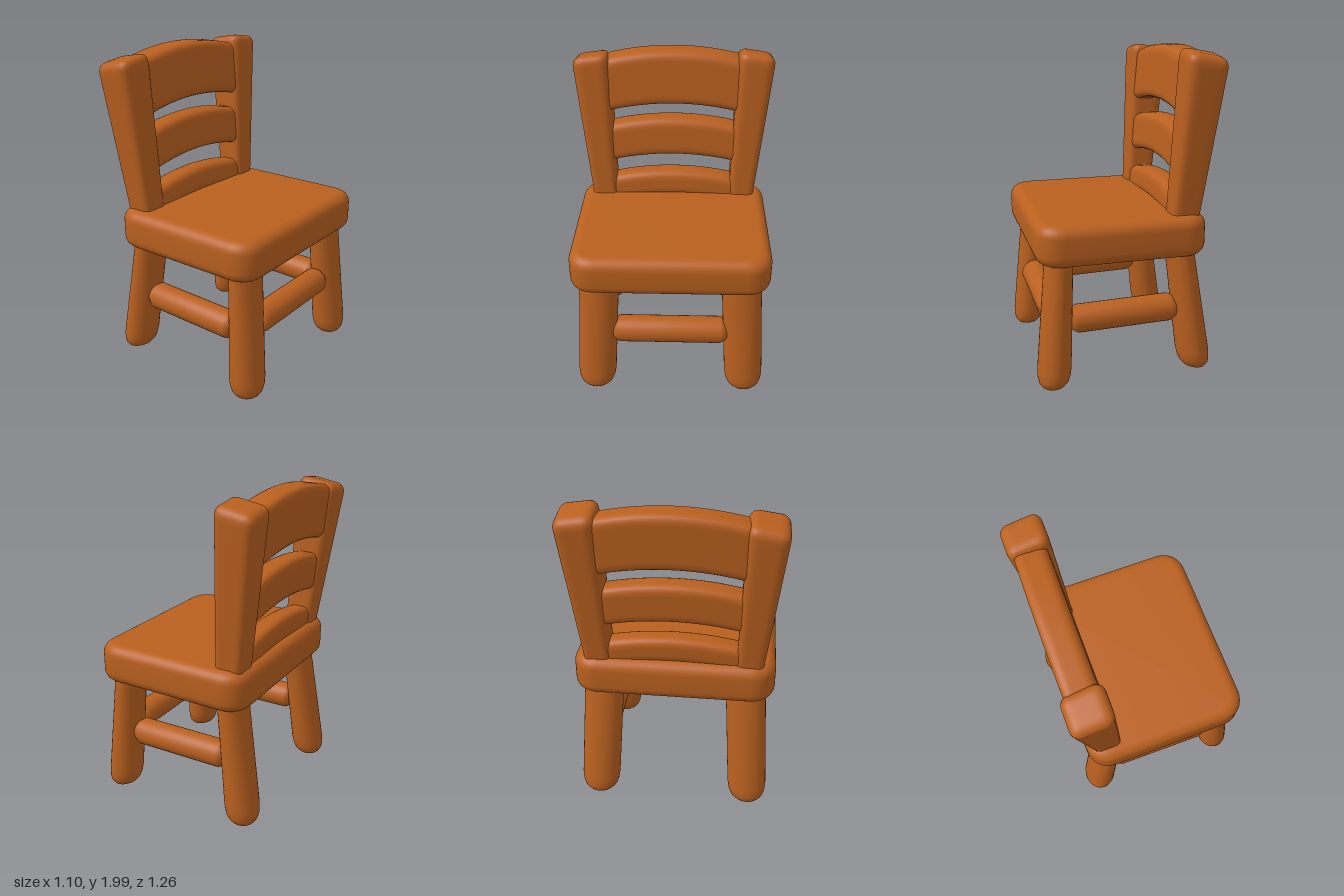
import * as THREE from 'three';
import { mergeVertices, toCreasedNormals } from 'three/addons/utils/BufferGeometryUtils.js';

const lerp = THREE.MathUtils.lerp;

// Move every vertex of a geometry by a rule, then rebuild smooth normals without seams.
function warp(geometry, rule) {
  geometry.deleteAttribute('uv');
  geometry.deleteAttribute('normal');
  const p = geometry.attributes.position;
  const v = new THREE.Vector3();
  for (let i = 0; i < p.count; i++) {
    v.fromBufferAttribute(p, i);
    rule(v);
    p.setXYZ(i, v.x, v.y, v.z);
  }
  const merged = mergeVertices(geometry, 1e-4);
  merged.computeVertexNormals();
  return merged;
}

// Finely divided block with rounded edges, bent by a rule.
function softBlock(w, h, d, r, rule) {
  const n = (s) => Math.ceil(s / 0.02);
  const half = new THREE.Vector3(w / 2 - r, h / 2 - r, d / 2 - r);
  const low = half.clone().negate();
  const core = new THREE.Vector3();
  return warp(new THREE.BoxGeometry(w, h, d, n(w), n(h), n(d)), (v) => {
    core.copy(v).clamp(low, half);
    v.sub(core).setLength(r).add(core);
    rule(v);
  });
}

// Backward lean shared by the posts and slats
const lean = (y) => lerp(-0.36, -0.437, (y - 1.04) / 0.9);

function seatGeometry() {
  const bevel = 0.07, r = 0.09, x0 = -0.49 + bevel, x1 = 0.545 - bevel, z = 0.615 - bevel;
  const s = new THREE.Shape();
  s.moveTo(x0 + r, -z);
  s.lineTo(x1 - r, -z);
  s.quadraticCurveTo(x1, -z, x1, -z + r);
  s.lineTo(x1, z - r);
  s.quadraticCurveTo(x1, z, x1 - r, z);
  s.lineTo(x0 + r, z);
  s.quadraticCurveTo(x0, z, x0, z - r);
  s.lineTo(x0, -z + r);
  s.quadraticCurveTo(x0, -z, x0 + r, -z);
  const g = new THREE.ExtrudeGeometry(s, {
    depth: 0.25 - 2 * bevel, bevelEnabled: true, bevelSize: bevel, bevelThickness: bevel,
    bevelSegments: 8, curveSegments: 12,
  });
  g.rotateX(-Math.PI / 2).translate(0, 0.79 + bevel, 0);
  return toCreasedNormals(g, 0.7);
}

// Splayed leg with a rounded foot; sideX is +1 at the front and -1 at the back
function legGeometry(sideX, sideZ) {
  const pts = [[0, 0], [0.45, 0.004], [0.7, 0.018], [0.86, 0.04], [0.95, 0.07], [1, 0.12],
    [1, 0.3], [1, 0.5], [1, 0.7], [1, 0.9]].map(([x, y]) => new THREE.Vector2(x, y));
  const foot = sideX > 0 ? 0.01 : 0.03;
  const topX = sideX > 0 ? 0.4 : 0.345;
  return warp(new THREE.LatheGeometry(pts, 32), (v) => {
    const t = v.y / 0.8;
    v.x = sideX * lerp(0.453, topX, t) + v.x * lerp(0.106, 0.084, t);
    v.z = sideZ * lerp(0.485, 0.44, t) + v.z * 0.123;
    v.y += foot - sideX * (v.x - sideX * 0.45) * 0.08 * (1 - t);
  });
}

// Post that widens and spreads towards its sloping top
function postGeometry(sideZ) {
  const bottom = 0.94, height = 1.02;
  return softBlock(1, height, 1, 0.0001, () => {}) && softBlock(0.24, height, 0.23, 0.055, (v) => {
    const y = bottom + height / 2 + v.y;
    const t = (y - 1.04) / 0.9;
    const k = lerp(0.74, 1.02, t);
    const slope = Math.max(0, t) * (v.x * 0.18 - sideZ * v.z * 0.14);
    v.x = v.x * k + lean(y);
    v.z = v.z * lerp(0.72, 1, t) + sideZ * lerp(0.46, 0.52, t);
    v.y = y + slope + (sideZ < 0 ? 0.018 : 0) * t;
  });
}

// Slat arched along its length
function slatGeometry(y0, y1, thick) {
  return softBlock(thick, y1 - y0, 0.92, 0.05, (v) => {
    v.y += (y0 + y1) / 2 - 0.045 * (v.z / 0.4) ** 2;
    v.x += lean(v.y);
  });
}

// Round rail with softened ends
function railGeometry(length) {
  const h = length / 2, r = 0.086;
  const pts = [[0, -h], [r * 0.7, -h + 0.01], [r, -h + 0.05], [r, 0], [r, h - 0.05], [r * 0.7, h - 0.01], [0, h]]
    .map(([x, y]) => new THREE.Vector2(x, y));
  return new THREE.LatheGeometry(pts, 28);
}

export function createModel() {
  const chair = new THREE.Group();
  chair.name = 'chair';
  const wood = new THREE.MeshStandardMaterial({ color: 0xb9601f });
  wood.name = 'warm wood';
  const add = (name, geometry) => {
    const mesh = new THREE.Mesh(geometry, wood);
    mesh.name = name;
    chair.add(mesh);
    return mesh;
  };

  add('seat', seatGeometry());

  // Legs, posts and side rails, mirrored across the seat
  for (const side of [1, -1]) {
    add('frontLeg', legGeometry(1, side));
    add('backLeg', legGeometry(-1, side));
    add('backPost', postGeometry(side));
    const rail = add('sideRail', railGeometry(0.68));
    rail.rotation.z = Math.PI / 2 - 0.02;
    rail.position.set(0.01, 0.43, side * 0.46);
  }

  // Rail between the front legs
  const frontRail = add('frontRail', railGeometry(0.74));
  frontRail.rotation.x = Math.PI / 2;
  frontRail.position.set(0.42, 0.445, 0);

  // Backrest slats
  add('topSlat', slatGeometry(1.66, 2.0, 0.19));
  add('middleSlat', slatGeometry(1.31, 1.56, 0.16));
  add('lowerSlat', slatGeometry(1.02, 1.19, 0.15));

  return chair;
}
